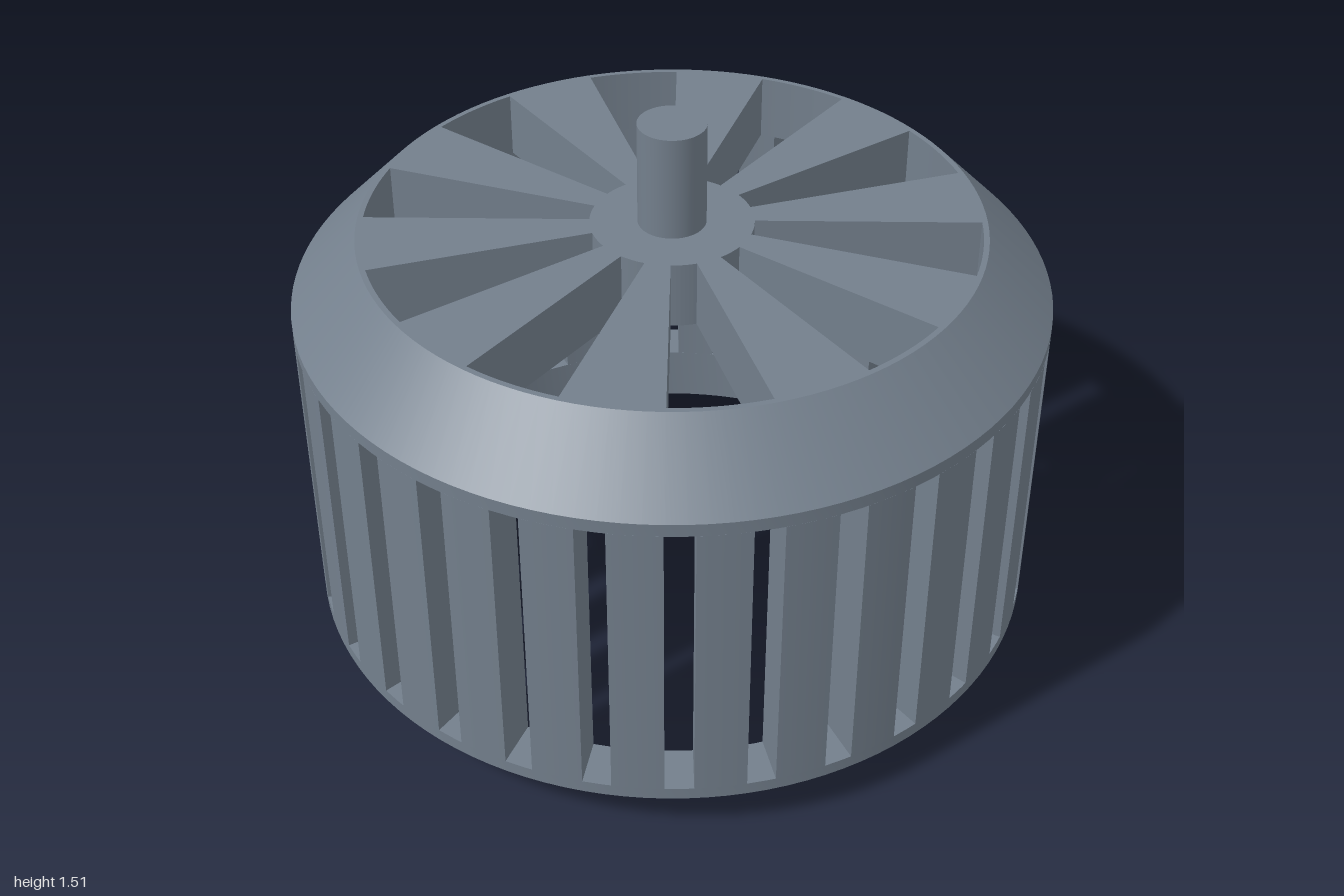
import * as THREE from 'three';
import { toCreasedNormals } from 'three/addons/utils/BufferGeometryUtils.js';

const OUTER = 1, INNER = 0.87, TOP_RADIUS = 0.82;
const SLOT_BOTTOM = 0.165, SLOT_TOP = 1.0, PLATE_BOTTOM = 1.035, TOP = 1.22;
const SLOTS = 30, SLOT_HALF = 0.0375, SLOT_START = 10;
const HOLES = 10, HUB = 0.215, HOLE_OUTER = 0.805;
const rad = THREE.MathUtils.degToRad;

// Closed ring turned from a counterclockwise (radius, height) profile
function ring(profile) {
  const points = [...profile, profile[0]].map(([r, y]) => new THREE.Vector2(r, y));
  return toCreasedNormals(new THREE.LatheGeometry(points, 120), 0.5);
}

// Annular sector outline; angles run from +x towards +z
function sector(Type, r0, r1, outerFrom, outerTo, innerFrom = outerFrom, innerTo = outerTo) {
  const s = new Type();
  s.moveTo(r0 * Math.cos(innerFrom), r0 * Math.sin(innerFrom));
  s.lineTo(r1 * Math.cos(outerFrom), r1 * Math.sin(outerFrom));
  s.absarc(0, 0, r1, outerFrom, outerTo, false);
  s.lineTo(r0 * Math.cos(innerTo), r0 * Math.sin(innerTo));
  s.absarc(0, 0, r0, innerTo, innerFrom, true);
  return s;
}

// Extrude a plan shape (x, z) between two heights
function slab(shape, bottom, top, curveSegments) {
  const geo = new THREE.ExtrudeGeometry(shape, { depth: top - bottom, bevelEnabled: false, curveSegments });
  geo.rotateX(Math.PI / 2);
  geo.translate(0, top, 0);
  return toCreasedNormals(geo, 0.5);
}

export function createModel() {
  const model = new THREE.Group();
  model.name = 'slottedDrum';
  const material = new THREE.MeshStandardMaterial({ color: 0x737f8c });
  const add = (name, geometry, parent = model) => {
    const mesh = new THREE.Mesh(geometry, material);
    mesh.name = name;
    parent.add(mesh);
    return mesh;
  };

  // Chamfered rings below and above the slots
  add('lowerRing', ring([[INNER, 0], [OUTER, 0.13], [OUTER, SLOT_BOTTOM], [INNER, SLOT_BOTTOM]]));
  add('upperRing', ring([
    [INNER, SLOT_TOP], [OUTER, SLOT_TOP], [OUTER, PLATE_BOTTOM],
    [TOP_RADIUS, TOP], [TOP_RADIUS, PLATE_BOTTOM], [INNER, PLATE_BOTTOM],
  ]));

  // Wall posts, leaving parallel-sided slots between them
  const posts = new THREE.Group();
  posts.name = 'wallPosts';
  model.add(posts);
  const step = 2 * Math.PI / SLOTS;
  const outerGap = Math.asin(SLOT_HALF / OUTER), innerGap = Math.asin(SLOT_HALF / INNER);
  const postGeometry = slab(
    sector(THREE.Shape, INNER, OUTER, outerGap, step - outerGap, innerGap, step - innerGap),
    SLOT_BOTTOM, SLOT_TOP, 4);
  for (let i = 0; i < SLOTS; i++) {
    add('wallPost', postGeometry, posts).rotation.y = -(rad(SLOT_START) + i * step);
  }

  // Spoked top plate with wedge-shaped openings
  const plate = new THREE.Shape();
  plate.absarc(0, 0, TOP_RADIUS, 0, 2 * Math.PI, false);
  for (let i = 0; i < HOLES; i++) {
    plate.holes.push(sector(THREE.Path, HUB, HOLE_OUTER, rad(36 * i + 18), rad(36 * i + 36)));
  }
  add('spokedTopPlate', slab(plate, PLATE_BOTTOM, TOP, 60));

  // Shaft standing on the hub
  const shaft = new THREE.CylinderGeometry(0.09, 0.09, 0.31, 48);
  add('shaft', shaft).position.y = 1.353;

  return model;
}
